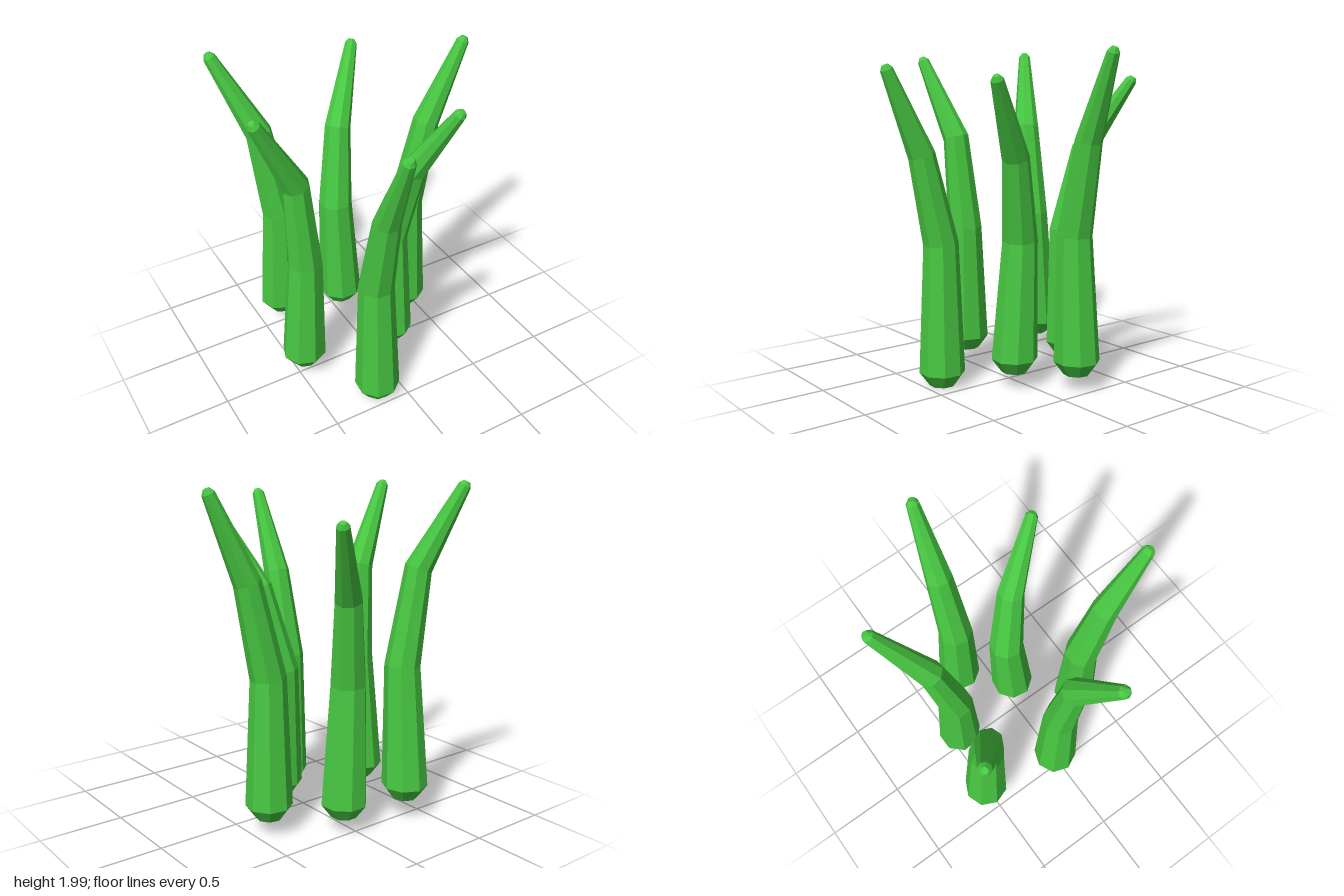
import * as THREE from 'three';

const SIDES = 8;
const V = (p) => new THREE.Vector3(...p);

// Radii of the rings: foot, base, middle, bend, tip, rounded end
const RADII = [0.078, 0.137, 0.105, 0.08, 0.037, 0.019];

// Centres of each stalk: base, middle, bend, tip
const STALKS = [
  { name: 'frontStalk', path: [[-0.155, 0.085, 0.385], [-0.163, 0.86, 0.38], [-0.172, 1.385, 0.5], [-0.185, 1.868, 0.713]] },
  { name: 'leftStalk', path: [[0.397, 0.175, -0.195], [0.384, 0.925, -0.18], [0.506, 1.475, -0.167], [0.718, 1.957, -0.136]] },
  { name: 'rightStalk', path: [[-0.455, 0.175, -0.01], [-0.43, 0.89, 0.015], [-0.478, 1.455, 0.045], [-0.724, 1.93, 0.12]] },
  { name: 'frontLeftStalk', path: [[0.133, 0.175, 0.062], [0.143, 0.885, 0.03], [0.227, 1.375, 0.13], [0.36, 1.81, 0.365]] },
  { name: 'backRightStalk', path: [[-0.37, 0.21, -0.515], [-0.362, 0.94, -0.477], [-0.445, 1.505, -0.5], [-0.642, 1.968, -0.645]] },
  { name: 'backStalk', path: [[0.04, 0.175, -0.44], [0.018, 0.885, -0.438], [0.09, 1.385, -0.517], [0.298, 1.81, -0.71]] },
];

// Loft octagonal rings along the path; one flat side faces the lean
function stalkGeometry(path) {
  const pts = path.map(V);
  const lean = pts[3].clone().sub(pts[0]).setY(0).normalize();
  const endDir = pts[3].clone().sub(pts[2]).normalize();
  const centres = [
    pts[0].clone().add(new THREE.Vector3(0, -0.08, 0)),
    ...pts,
    pts[3].clone().addScaledVector(endDir, 0.026),
  ];

  const rings = centres.map((c, i) => {
    // Rings stand square to the path, tilted halfway at each bend
    const t = new THREE.Vector3(0, 1, 0);
    if (i >= 4) t.copy(endDir);
    else if (i >= 2) {
      const before = c.clone().sub(centres[i - 1]).normalize();
      const after = centres[i + 1].clone().sub(c).normalize();
      t.copy(before.add(after).normalize());
    }
    const u = lean.clone().addScaledVector(t, -lean.dot(t)).normalize();
    const v = t.clone().cross(u);
    return Array.from({ length: SIDES }, (_, j) => {
      const a = ((j + 0.5) / SIDES) * Math.PI * 2;
      return c.clone()
        .addScaledVector(u, RADII[i] * Math.cos(a))
        .addScaledVector(v, RADII[i] * Math.sin(a));
    });
  });

  const tris = [];
  const last = rings.length - 1;
  for (let j = 0; j < SIDES; j++) {
    const k = (j + 1) % SIDES;
    for (let i = 0; i < last; i++) {
      const [a, b, c, d] = [rings[i][j], rings[i][k], rings[i + 1][k], rings[i + 1][j]];
      tris.push(a, b, c, a, c, d);
    }
    // End caps
    tris.push(centres[0], rings[0][k], rings[0][j]);
    tris.push(centres[last], rings[last][j], rings[last][k]);
  }
  const geometry = new THREE.BufferGeometry().setFromPoints(tris);
  geometry.computeVertexNormals();
  return geometry;
}

export function createModel() {
  const group = new THREE.Group();
  group.name = 'stalkCluster';
  const green = new THREE.MeshStandardMaterial({ color: 0x48c842, flatShading: true });
  for (const { name, path } of STALKS) {
    const stalk = new THREE.Mesh(stalkGeometry(path), green);
    stalk.name = name;
    group.add(stalk);
  }
  return group;
}
